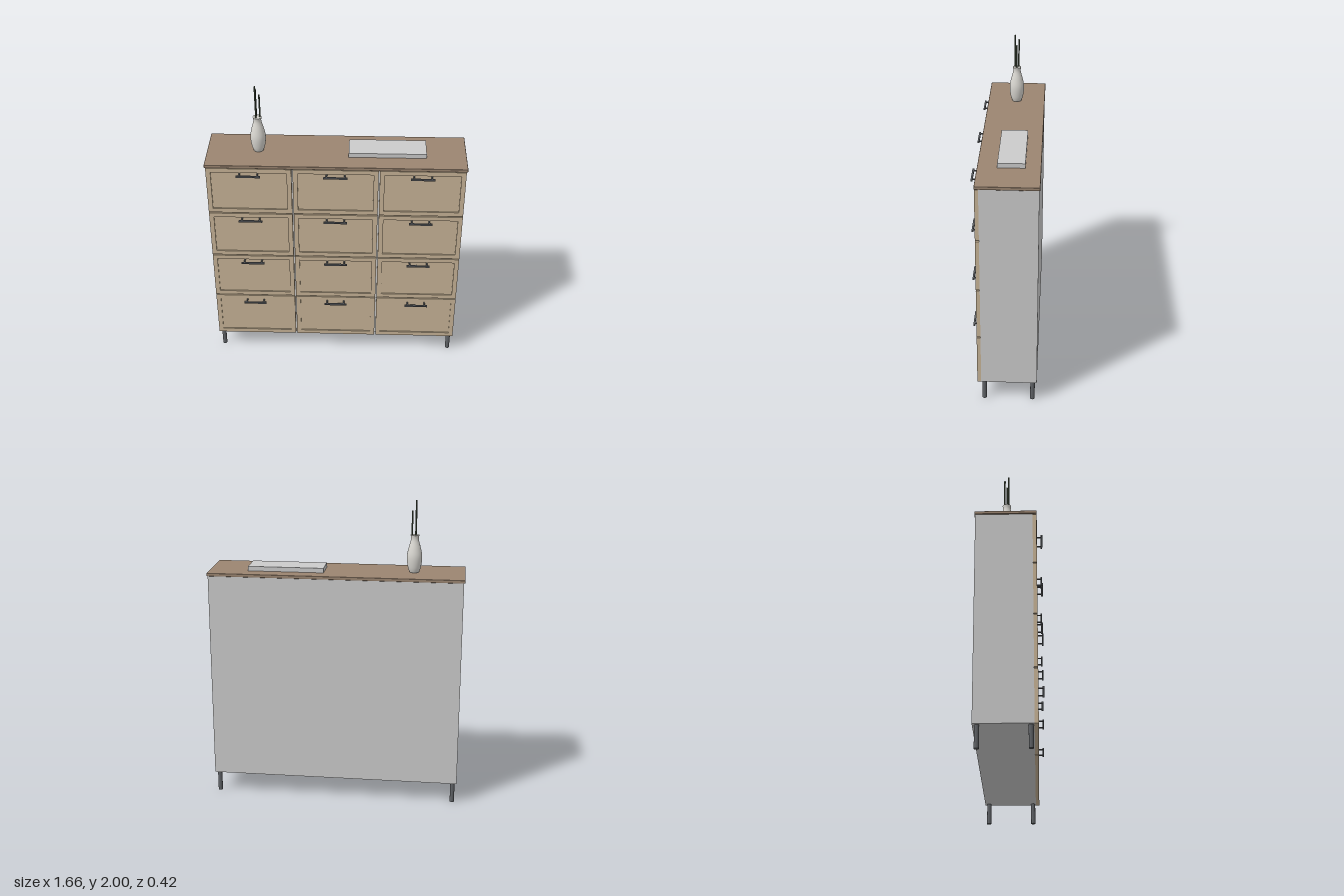
import * as THREE from 'three';
import { RoundedBoxGeometry } from 'three/addons/geometries/RoundedBoxGeometry.js';

const mat = (color) => new THREE.MeshStandardMaterial({ color });
const grey = mat(0xcccccc);
const wood = mat(0x9b8571);
const frontWood = mat(0xc8b497);
const metal = mat(0x5f6266);
const ceramic = mat(0xd8d6d0);
const green = mat(0x4f5a48);

function add(parent, name, geometry, material, x = 0, y = 0, z = 0) {
  const mesh = new THREE.Mesh(geometry, material);
  mesh.name = name;
  mesh.position.set(x, y, z);
  parent.add(mesh);
  return mesh;
}

// Drawer front size, spacing and frame
const W = 0.541, H = 0.337, FRAME = 0.03, PITCH_X = 0.5495, PITCH_Y = 0.345;
const BACK_Z = 0.149, FRONT_Z = 0.173, PANEL_Z = 0.165;

function rectangle(shape, w, h) {
  return shape.moveTo(-w / 2, -h / 2).lineTo(w / 2, -h / 2)
    .lineTo(w / 2, h / 2).lineTo(-w / 2, h / 2).closePath();
}

function drawerFrameGeometry() {
  const shape = rectangle(new THREE.Shape(), W, H);
  shape.holes.push(rectangle(new THREE.Path(), W - 2 * FRAME, H - 2 * FRAME));
  return new THREE.ExtrudeGeometry(shape, { depth: FRONT_Z - BACK_Z, bevelEnabled: false });
}

const frameGeo = drawerFrameGeometry();
const panelGeo = new THREE.BoxGeometry(W - 2 * FRAME, H - 2 * FRAME, PANEL_Z - BACK_Z);
const barGeo = new THREE.BoxGeometry(0.152, 0.011, 0.011);
const postGeo = new THREE.CylinderGeometry(0.005, 0.005, 0.04, 12).rotateX(Math.PI / 2);

function createDrawer() {
  const drawer = new THREE.Group();
  drawer.name = 'drawer';
  add(drawer, 'drawerFrame', frameGeo, frontWood, 0, 0, BACK_Z);
  add(drawer, 'drawerPanel', panelGeo, frontWood, 0, 0, (BACK_Z + PANEL_Z) / 2);
  const handle = new THREE.Group();
  handle.name = 'handle';
  handle.position.set(0, 0.13, 0);
  add(handle, 'handleBar', barGeo, metal, 0, 0, 0.2035);
  for (const s of [-1, 1]) add(handle, 'handlePost', postGeo, metal, s * 0.057, 0, 0.182);
  drawer.add(handle);
  return drawer;
}

function createVase() {
  const vase = new THREE.Group();
  vase.name = 'vase';
  vase.position.set(-0.498, 1.536, -0.019);
  // Outer wall from base to rim
  const outline = new THREE.SplineCurve([
    [0.03, 0], [0.041, 0.03], [0.048, 0.075], [0.048, 0.115],
    [0.039, 0.16], [0.028, 0.2], [0.025, 0.222], [0.028, 0.243],
  ].map(([r, y]) => new THREE.Vector2(r, y)));
  const profile = [new THREE.Vector2(0, 0), ...outline.getPoints(32)];
  add(vase, 'vaseBody', new THREE.LatheGeometry(profile, 40), ceramic);
  add(vase, 'vaseTop', new THREE.CircleGeometry(0.028, 40).rotateX(-Math.PI / 2), ceramic, 0, 0.243, 0);
  // Stems: x, z, top height
  for (const [x, z, top] of [[-0.006, 0.013, 0.464], [-0.006, -0.013, 0.434], [0.018, 0, 0.4]]) {
    const length = top - 0.15;
    add(vase, 'stem', new THREE.CylinderGeometry(0.005, 0.005, length, 10), green, x, top - length / 2, z);
  }
  return vase;
}

export function createModel() {
  const model = new THREE.Group();
  model.name = 'drawerCabinet';

  // Carcass and top board
  add(model, 'cabinetBody', new THREE.BoxGeometry(1.64, 1.375, 0.354), grey, 0, 0.8275, -0.028);
  add(model, 'topBoard', new RoundedBoxGeometry(1.656, 0.021, 0.385, 2, 0.004), wood, 0, 1.5255, -0.0175);

  // Four rows of three drawers
  for (let row = 0; row < 4; row++) {
    for (let col = -1; col <= 1; col++) {
      const drawer = createDrawer();
      drawer.position.set(col * PITCH_X, 0.14 + H / 2 + row * PITCH_Y, 0);
      model.add(drawer);
    }
  }

  // Legs
  const legGeo = new THREE.CylinderGeometry(0.0145, 0.0145, 0.14, 20);
  for (const x of [-0.793, 0.793]) {
    for (const z of [0.13, -0.178]) add(model, 'leg', legGeo, metal, x, 0.07, z);
  }

  // Things standing on top
  model.add(createVase());
  add(model, 'tray', new THREE.BoxGeometry(0.493, 0.03, 0.168), grey, 0.326, 1.551, -0.031);
  return model;
}
